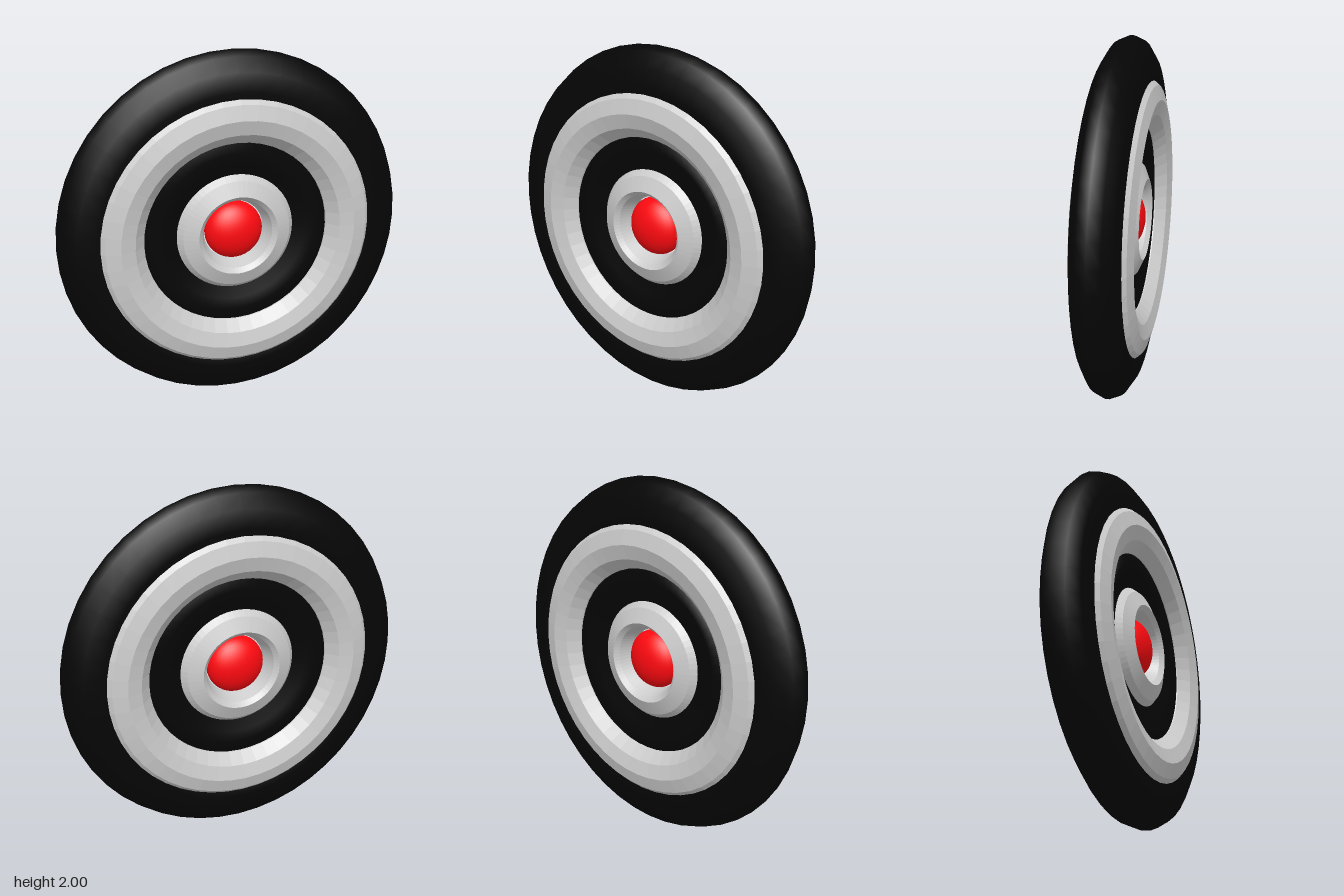
import * as THREE from 'three';

const paint = (color, flatShading) =>
  new THREE.MeshStandardMaterial({ color, flatShading });

export function createModel() {
  const wheel = new THREE.Group();
  wheel.name = 'wheel';
  wheel.position.y = 1;

  const grey = paint(0xcccccc, true);
  const black = paint(0x050505, false);
  const red = paint(0xff0a10, false);

  function add(name, geometry, material) {
    const mesh = new THREE.Mesh(geometry, material);
    mesh.name = name;
    wheel.add(mesh);
    return mesh;
  }

  // Turned part: [radius, z] points from bore to rim, mirrored front to back
  function turned(name, half, material) {
    const profile = [
      ...half.map(([r, z]) => new THREE.Vector2(r, -z)),
      ...half.map(([r, z]) => new THREE.Vector2(r, z)).reverse(),
    ];
    const geometry = new THREE.LatheGeometry(profile, 64);
    geometry.rotateX(Math.PI / 2);
    return add(name, geometry, material);
  }

  // Tyre: flattened across its width and very slightly oval
  const tyre = add('tyre', new THREE.TorusGeometry(0.8, 0.2, 12, 48), black);
  tyre.scale.set(0.975, 1, 0.625);

  // Rim ring standing proud of the tyre walls
  const rim = add('rim', new THREE.TorusGeometry(0.66, 0.16, 12, 48), grey);
  rim.scale.z = 1.03;

  // Web between rim and hub, dipping towards the hub
  turned('web', [[0.25, 0.03], [0.33, 0.04], [0.4, 0.07], [0.46, 0.078], [0.54, 0.075]], black);

  // Hub collar with bevelled rim, sloping face and funnel-shaped bore
  turned('hubRing', [[0.17, 0], [0.2, 0.085], [0.225, 0.11], [0.305, 0.075], [0.335, 0.04]], grey);

  // Domed cap showing on both sides
  const cap = add('hubCap', new THREE.SphereGeometry(0.165, 32, 24), red);
  cap.scale.z = 0.64;

  const model = new THREE.Group();
  model.add(wheel);
  return model;
}
